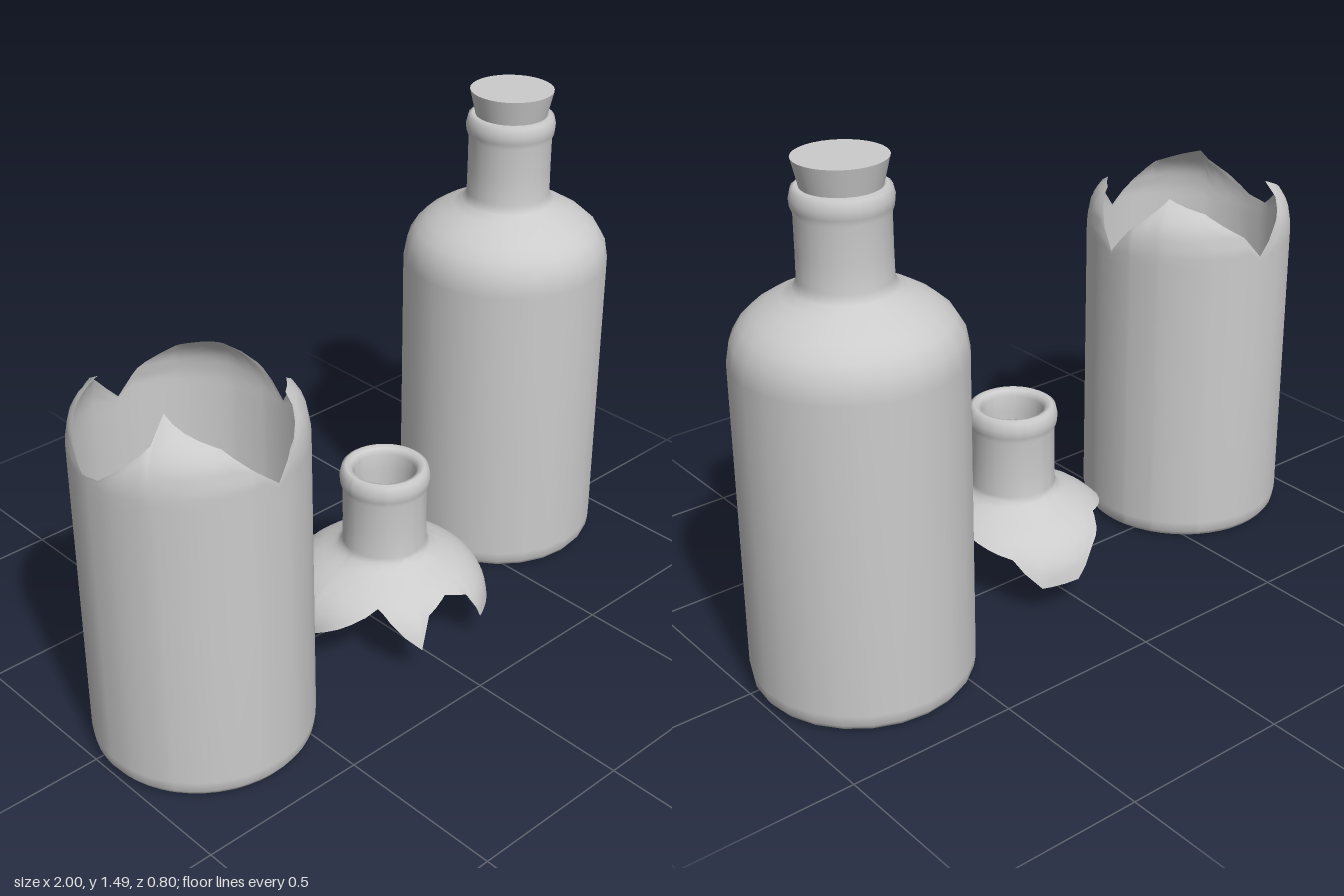
import * as THREE from 'three';

const glass = new THREE.MeshStandardMaterial({ color: 0xcccccc, side: THREE.DoubleSide });
const SIDES = 24;

// Profiles as [radius, height], bottom to top
const BASE = [[0, 0.004], [0.278, 0.004], [0.28, 0.004], [0.297, 0.011], [0.308, 0.027], [0.313, 0.06]];
const SHOULDER = [[0.313, 0.96], [0.302, 1.02], [0.278, 1.06], [0.245, 1.09],
  [0.205, 1.115], [0.165, 1.134], [0.138, 1.15], [0.125, 1.175]];
const LIP = [[0.124, 1.25], [0.124, 1.35], [0.131, 1.368], [0.133, 1.39], [0.127, 1.415],
  [0.115, 1.422], [0.1, 1.417], [0.091, 1.4], [0.09, 1.35], [0.09, 1.3]];

// Broken edges as [angle in degrees from the front towards +x, height]
const BODY_EDGE = [[-54, 1.12], [-21, 1.06], [-6.5, 0.99], [6.5, 0.93], [17, 1.0], [42, 1.085], [61, 1.08],
  [76, 1.03], [89, 0.93], [101, 1.01], [121, 1.1], [146, 1.07], [168, 1.0], [179, 0.93], [195, 1.02],
  [218, 1.1], [232, 1.07], [246, 1.035], [265, 0.95], [277, 0.96], [299, 1.05], [303, 1.07], [306, 1.12]];
const NECK_EDGE = [[-100, 1.055], [-90, 0.97], [-48, 1.085], [-43, 1.07], [-23, 0.97], [-16, 1.06], [1, 1.085],
  [16, 1.06], [23, 0.97], [66, 0.97], [76, 1.03], [111, 1.09], [141, 1.055], [157, 0.97], [179, 0.97],
  [191, 1.03], [202, 1.055], [218, 1.09], [260, 1.055]];

// Linear lookup in a list of [key, value]
function lookup(table, key) {
  for (let i = 1; i < table.length; i++) {
    const [k0, v0] = table[i - 1], [k1, v1] = table[i];
    if (key <= k1) return THREE.MathUtils.lerp(v0, v1, Math.max(0, (key - k0) / (k1 - k0)));
  }
  return table[table.length - 1][1];
}
const radiusByHeight = SHOULDER.map(([r, y]) => [y, r]);

// Points along the wall between two heights
function wall(y0, y1, steps) {
  return Array.from({ length: steps + 1 }, (_, i) => {
    const y = THREE.MathUtils.lerp(y0, y1, i / steps);
    return [lookup(radiusByHeight, y), y];
  });
}

// Revolved surface whose profile changes with the height of the broken edge
function brokenRevolution(edge, profileAt) {
  const start = edge[0][0];
  const angles = edge.slice(0, -1).map(([a]) => a);
  for (let i = 0; i < SIDES * 2; i++) {
    const a = start + (i * 360) / (SIDES * 2);
    if (angles.every((b) => Math.abs(a - b) > 2)) angles.push(a);
  }
  angles.sort((a, b) => a - b);

  const positions = [], indices = [];
  let rows = 0;
  for (const deg of angles) {
    const profile = profileAt(lookup(edge, deg));
    const a = THREE.MathUtils.degToRad(deg);
    rows = profile.length;
    for (const [r, y] of profile) positions.push(r * Math.sin(a), y, r * Math.cos(a));
  }
  angles.forEach((_, i) => {
    const p = i * rows, q = ((i + 1) % angles.length) * rows;
    for (let j = 0; j < rows - 1; j++) {
      indices.push(p + j, q + j, q + j + 1, p + j, q + j + 1, p + j + 1);
    }
  });
  const geometry = new THREE.BufferGeometry();
  geometry.setAttribute('position', new THREE.Float32BufferAttribute(positions, 3));
  geometry.setIndex(indices);
  geometry.computeVertexNormals();
  return geometry;
}

function lathe(points, sides = SIDES) {
  return new THREE.LatheGeometry(points.map(([r, y]) => new THREE.Vector2(r, y)), sides);
}

function part(name, geometry, x, y, z) {
  const mesh = new THREE.Mesh(geometry, glass);
  mesh.name = name;
  mesh.position.set(x, y, z);
  return mesh;
}

export function createModel() {
  const model = new THREE.Group();
  model.name = 'bottles';

  // Whole bottle with its stopper
  const whole = new THREE.Group();
  whole.name = 'wholeBottle';
  whole.position.set(0.687, 0, -0.09);
  whole.add(part('bottleGlass', lathe([...BASE, ...SHOULDER, ...LIP]), 0, 0, 0));
  whole.add(part('corkStopper', new THREE.CylinderGeometry(0.124, 0.104, 0.085, 32), 0, 1.452, 0));
  model.add(whole);

  // Lower half of the broken bottle, open at the top
  const body = brokenRevolution(BODY_EDGE, (edgeY) => [...BASE, [0.313, 0.5], ...wall(0.9, edgeY, 8)]);
  model.add(part('brokenBody', body, -0.686, 0, 0.085));

  // Broken-off neck standing on the points of its shoulder
  const neck = brokenRevolution(NECK_EDGE, (edgeY) => [...wall(edgeY, 1.175, 10), ...LIP]);
  model.add(part('brokenNeck', neck, 0.025, -0.868, 0.07));

  return model;
}
